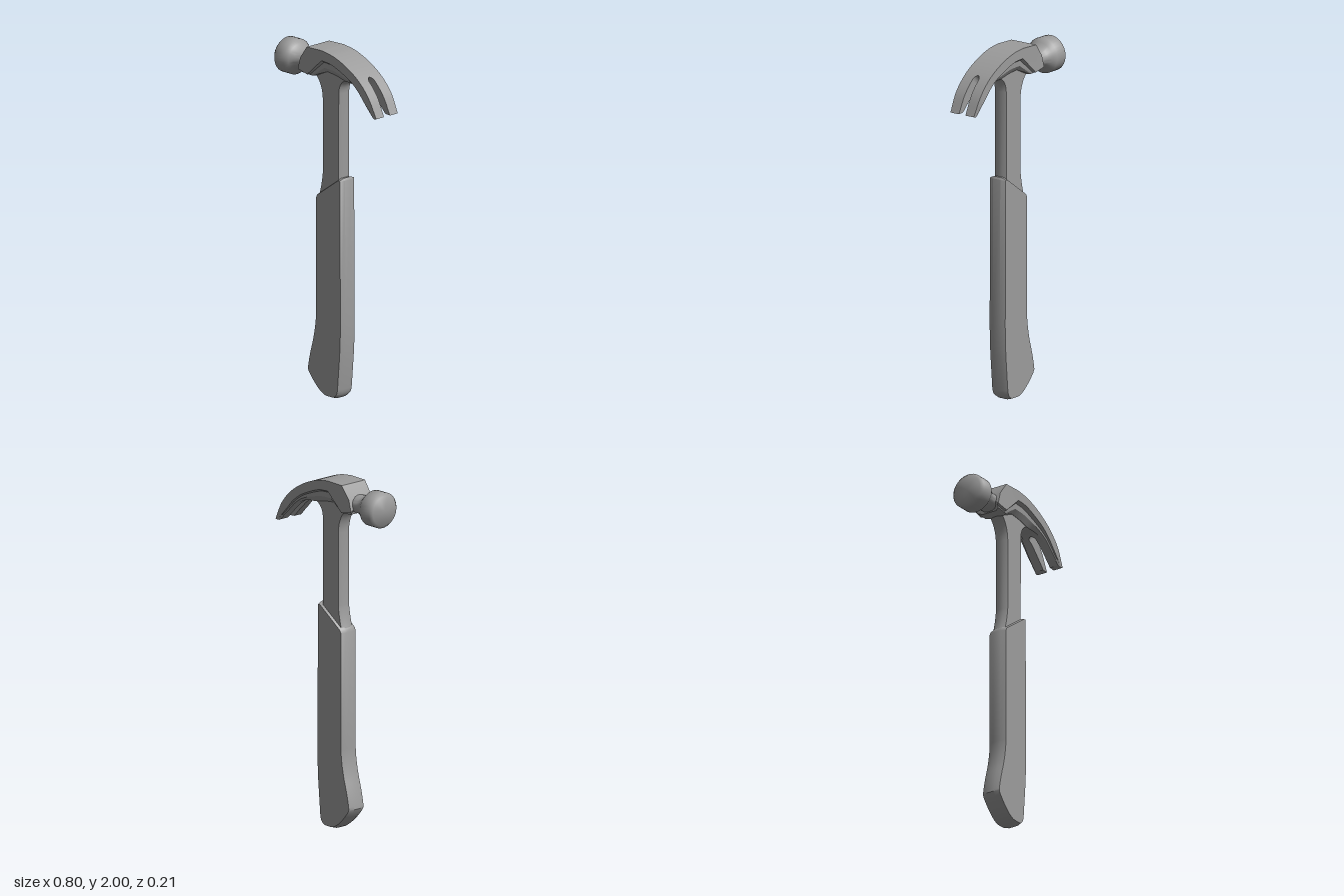
import * as THREE from 'three';
import { toCreasedNormals } from 'three/addons/utils/BufferGeometryUtils.js';

const steel = new THREE.MeshStandardMaterial({ color: 0x9c9c9c });

function part(name, geometry, crease = 0.6) {
  const mesh = new THREE.Mesh(toCreasedNormals(geometry, crease), steel);
  mesh.name = name;
  return mesh;
}

// Flat outline extruded along z: crisp flat faces, sides softly rounded by one deep bevel
function slab(shape, halfDepth, rimSize, rimDepth) {
  const depth = 2 * (halfDepth - rimDepth);
  const g = new THREE.ExtrudeGeometry(shape, {
    depth, bevelEnabled: true, bevelSize: rimSize, bevelOffset: -rimSize,
    bevelThickness: rimDepth, bevelSegments: 1, curveSegments: 8,
  });
  return g.translate(0, 0, -depth / 2);
}

function createGrip() {
  const s = new THREE.Shape();
  s.moveTo(-0.115, 1.135);
  s.lineTo(-0.115, 0.47);
  s.quadraticCurveTo(-0.118, 0.39, -0.142, 0.3);
  s.quadraticCurveTo(-0.172, 0.2, -0.18, 0.135);
  s.lineTo(-0.168, 0.112);
  s.quadraticCurveTo(-0.08, 0.0, -0.02, 0);
  s.lineTo(0.02, 0);
  s.quadraticCurveTo(0.066, 0.005, 0.073, 0.06);
  s.lineTo(0.09, 0.26);
  s.quadraticCurveTo(0.096, 0.36, 0.096, 0.45);
  s.lineTo(0.092, 1.265);
  s.lineTo(0.084, 1.277);
  s.lineTo(0.062, 1.274);
  s.lineTo(-0.105, 1.157);
  return part('grip', slab(s, 0.055, 0.01, 0.03));
}

function createShaft() {
  const s = new THREE.Shape();
  s.moveTo(0.065, 1.1);
  s.lineTo(0.068, 1.76);
  s.quadraticCurveTo(0.07, 1.84, 0.15, 1.845);
  s.lineTo(0.11, 1.9);
  s.lineTo(-0.05, 1.91);
  s.lineTo(-0.15, 1.845);
  s.quadraticCurveTo(-0.08, 1.8, -0.077, 1.7);
  s.lineTo(-0.077, 1.285);
  s.quadraticCurveTo(-0.085, 1.21, -0.105, 1.15);
  s.lineTo(-0.1, 1.1);
  return part('shaft', slab(s, 0.04, 0.01, 0.024));
}

// Striking face and neck: turned about x, the neck flattened in height
function createPoll() {
  const profile = [
    [0, -0.4], [0.088, -0.4], [0.104, -0.383], [0.104, -0.311],
    [0.089, -0.288], [0.074, -0.265], [0.067, -0.235], [0.064, -0.15], [0, -0.15],
  ].map(([r, x]) => new THREE.Vector2(r, x));
  const g = new THREE.LatheGeometry(profile, 40);
  g.rotateZ(-Math.PI / 2);
  const p = g.attributes.position;
  for (let i = 0; i < p.count; i++) {
    const t = THREE.MathUtils.smoothstep(p.getX(i), -0.311, -0.255);
    p.setY(i, p.getY(i) * (0.97 - 0.2 * t));
  }
  g.translate(0, 1.888, 0);
  return part('strikingPoll', g, 0.9);
}

// Head: guide lines (crown, side edge, step, underside) swept from poll to claw tip
const W = 0.087;
const [crown, edge, step, underside] = [
  [[-0.2, 1.925, 0.084], [-0.146, 1.997, W], [-0.03, 2.0, W], [0.05, 1.988, W],
    [0.14, 1.957, W], [0.23, 1.908, W], [0.29, 1.86, W], [0.345, 1.795, W], [0.396, 1.695, 0.083]],
  [[-0.22, 1.855, 0.084], [-0.143, 1.84, W], [-0.03, 1.942, W], [0.04, 1.935, W],
    [0.12, 1.907, W], [0.2, 1.868, W], [0.255, 1.825, W], [0.31, 1.765, W], [0.38, 1.692, 0.083]],
  [[-0.2, 1.838, 0.07], [-0.125, 1.832, 0.066], [-0.03, 1.896, 0.064], [0.04, 1.893, 0.064],
    [0.115, 1.876, 0.064], [0.195, 1.85, 0.066], [0.245, 1.816, 0.072], [0.302, 1.758, 0.077], [0.37, 1.692, 0.08]],
  [[-0.185, 1.832, 0.045], [-0.12, 1.828, 0.042], [-0.03, 1.87, 0.042], [0.04, 1.862, 0.042],
    [0.11, 1.846, 0.042], [0.185, 1.838, 0.046], [0.235, 1.815, 0.058], [0.292, 1.766, 0.07], [0.36, 1.697, 0.077]],
].map((line) => line.map((p) => new THREE.Vector3(...p)));

// Ledge under the side edge, and the upright band below it
const ledge = edge.map((p, i) => p.clone().lerp(step[i], 0.28).setZ(step[i].z + 0.003));
const guides = [crown, edge, ledge, step, underside];

// Half width of the nail slot at a given x
function slot(x) {
  if (x < 0.256) return 0;
  const t = Math.min(1, (x - 0.256) / 0.025);
  return 0.02 * Math.sqrt(t * (2 - t)) + 0.03 * Math.max(0, x - 0.3);
}

function createHeadHalf(side) {
  const steps = 64;
  const lines = guides.map((v) => {
    const curve = new THREE.CatmullRomCurve3(v.slice(2));
    return [v[0], v[1], ...curve.getPoints(steps)];
  });
  const rings = lines[0].map((top, i) => {
    const ring = lines.map((l) => l[i].clone());
    const low = ring[ring.length - 1];
    const gap = slot(top.x);
    ring.unshift(top.clone().setZ(gap));
    ring.push(low.clone().setZ(gap));
    ring.forEach((p) => { p.z *= side; });
    return ring;
  });

  const out = [];
  const tri = (a, b, c) => (side > 0 ? [a, b, c] : [a, c, b]).forEach((p) => out.push(p.x, p.y, p.z));
  const n = rings[0].length;
  for (let i = 0; i < rings.length - 1; i++) {
    const a = rings[i], b = rings[i + 1];
    for (let j = 0; j < n; j++) {
      if (j === n - 1 && b[0].z === 0) continue; // no wall where the halves join
      const k = (j + 1) % n;
      tri(a[j], a[k], b[k]);
      tri(a[j], b[k], b[j]);
    }
  }
  // End caps
  const first = rings[0], last = rings[rings.length - 1];
  for (let j = 1; j < n - 1; j++) {
    tri(first[0], first[j + 1], first[j]);
    tri(last[0], last[j], last[j + 1]);
  }
  const g = new THREE.BufferGeometry();
  g.setAttribute('position', new THREE.Float32BufferAttribute(out, 3));
  return part(side > 0 ? 'clawHeadFront' : 'clawHeadBack', g, 0.45);
}

export function createModel() {
  const group = new THREE.Group();
  group.name = 'clawHammer';
  const head = new THREE.Group();
  head.name = 'head';
  head.add(createPoll(), createHeadHalf(1), createHeadHalf(-1));
  group.add(createGrip(), createShaft(), head);
  return group;
}
